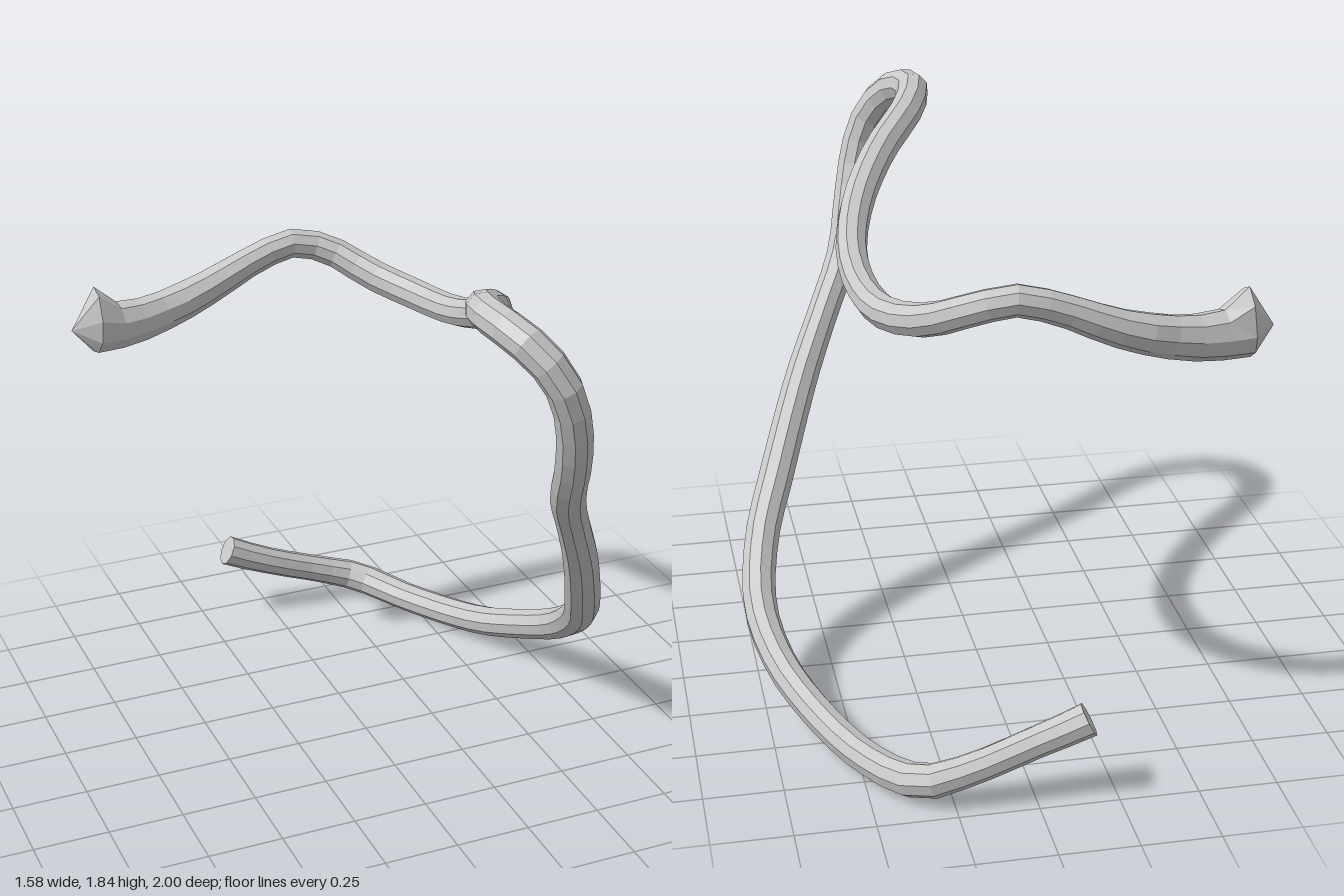
import * as THREE from 'three';

// Centre line of the bent rod: x, y, z, radius
const PATH = [
  [-0.23, 0.315, -0.955, 0.055], [-0.17, 0.275, -0.95, 0.055], [0, 0.2, -0.935, 0.05],
  [0.2, 0.125, -0.93, 0.05], [0.34, 0.08, -0.9, 0.056], [0.48, 0.055, -0.7, 0.052],
  [0.62, 0.09, -0.4, 0.053], [0.7, 0.16, -0.2, 0.054], [0.735, 0.26, 0, 0.056],
  [0.7, 0.41, 0.2, 0.058], [0.63, 0.56, 0.35, 0.06], [0.51, 0.84, 0.54, 0.057],
  [0.42, 1.02, 0.65, 0.053], [0.325, 1.2, 0.78, 0.055], [0.28, 1.38, 0.89, 0.055],
  [0.24, 1.55, 0.943, 0.055], [0.19, 1.67, 0.94, 0.056], [0.12, 1.76, 0.87, 0.057],
  [0.08, 1.79, 0.74, 0.055], [0.12, 1.76, 0.59, 0.055], [0.25, 1.67, 0.4, 0.055],
  [0.35, 1.57, 0.2, 0.053], [0.4, 1.48, 0, 0.05], [0.395, 1.42, -0.2, 0.05],
  [0.35, 1.41, -0.4, 0.052], [0.26, 1.44, -0.55, 0.053], [0.14, 1.51, -0.67, 0.05],
  [0.02, 1.54, -0.7, 0.05], [-0.12, 1.5, -0.7, 0.05], [-0.3, 1.425, -0.69, 0.06],
  [-0.5, 1.37, -0.66, 0.072], [-0.62, 1.362, -0.64, 0.08], [-0.7, 1.365, -0.63, 0.085],
  [-0.75, 1.37, -0.625, 0.072], [-0.79, 1.375, -0.62, 0.02],
];
const SIDES = 9;
const RINGS = 76;

function createRodGeometry() {
  const curve = new THREE.CatmullRomCurve3(PATH.map(([x, y, z]) => new THREE.Vector3(x, y, z)));
  const geometry = new THREE.TubeGeometry(curve, RINGS, 1, SIDES, false);
  const pos = geometry.attributes.position;
  const v = new THREE.Vector3();

  for (let i = 0; i < pos.count; i++) {
    const ring = Math.floor(i / (SIDES + 1));
    // the first ring collapses onto the second to make a blunt cap
    const u = Math.max(ring, 1) / RINGS;
    const centre = curve.getPointAt(u);
    const f = curve.getUtoTmapping(u) * (PATH.length - 1);
    const k = Math.min(Math.floor(f), PATH.length - 2);
    const closed = ring === 0 || ring === RINGS;
    const r = closed ? 0 : THREE.MathUtils.lerp(PATH[k][3], PATH[k + 1][3], f - k);

    v.fromBufferAttribute(pos, i).sub(curve.getPointAt(ring / RINGS)).multiplyScalar(r);
    if (centre.x < -0.45) v.z *= 0.8; // knob is narrower than it is tall
    v.add(centre);
    // pointed lip on top of the knob
    if (v.x < -0.5) {
      const lift = Math.max(0, (v.y - 1.37) / 0.08);
      v.y += 0.065 * lift * Math.exp(-(((v.x + 0.705) / 0.045) ** 2));
    }
    pos.setXYZ(i, v.x, v.y, v.z);
  }
  geometry.computeVertexNormals();
  return geometry;
}

export function createModel() {
  const grey = new THREE.MeshStandardMaterial({ color: 0xc8c8c8, flatShading: true });
  grey.name = 'light grey';
  const rod = new THREE.Mesh(createRodGeometry(), grey);
  rod.name = 'bentRod';
  const model = new THREE.Group();
  model.name = 'bentRodModel';
  model.add(rod);
  return model;
}
